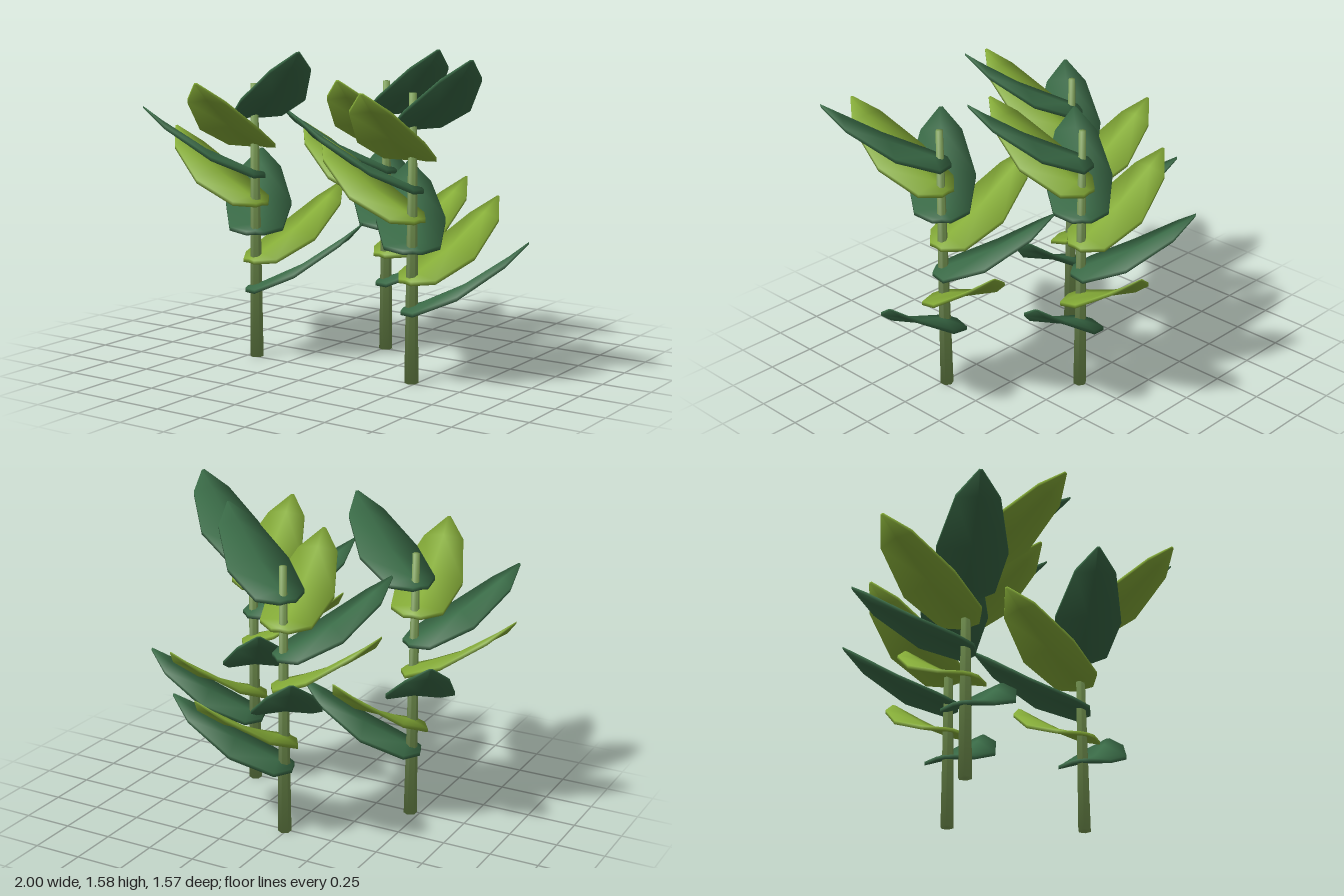
import * as THREE from 'three';
import { mergeVertices } from 'three/addons/utils/BufferGeometryUtils.js';

const STEM_HEIGHT = 1.395;
const LEAF_COUNT = 7;

// Smooth normals weighted by corner angle, so thin rims and caps round off softly
function smoothByAngle(geometry) {
  const pos = geometry.attributes.position;
  const index = geometry.index;
  const normals = Array.from({ length: pos.count }, () => new THREE.Vector3());
  for (let f = 0; f < index.count; f += 3) {
    const ids = [0, 1, 2].map((k) => index.getX(f + k));
    const p = ids.map((id) => new THREE.Vector3().fromBufferAttribute(pos, id));
    const face = p[1].clone().sub(p[0]).cross(p[2].clone().sub(p[0])).normalize();
    ids.forEach((id, k) => {
      const u = p[(k + 1) % 3].clone().sub(p[k]);
      const v = p[(k + 2) % 3].clone().sub(p[k]);
      normals[id].addScaledVector(face, u.angleTo(v));
    });
  }
  const flat = normals.flatMap((n) => n.normalize().toArray());
  geometry.setAttribute('normal', new THREE.Float32BufferAttribute(flat, 3));
  return geometry;
}

// Six-sided tapering stem
function stemGeometry() {
  const g = new THREE.CylinderGeometry(0.018, 0.034, STEM_HEIGHT, 6);
  g.translate(0, STEM_HEIGHT / 2, 0);
  g.deleteAttribute('uv');
  g.deleteAttribute('normal');
  return smoothByAngle(mergeVertices(g));
}

// Leaf along +x, curving upward, with a slightly arched thin section
function leafGeometry() {
  // distance from stem, height, half width, half thickness, arch
  const stations = [
    [-0.045, 0.0, 0.045, 0.010, 0.002],
    [0.03, 0.018, 0.135, 0.010, 0.008],
    [0.245, 0.118, 0.17, 0.010, 0.011],
    [0.46, 0.268, 0.105, 0.009, 0.008],
    [0.553, 0.352, 0.008, 0.005, 0.0],
  ];
  const points = [];
  const faces = [];
  for (const [x, y, w, t, arch] of stations) {
    points.push(
      x, y - arch + t, -w, x, y + arch + t, 0, x, y - arch + t, w,
      x, y - arch - t, w, x, y + arch - t, 0, x, y - arch - t, -w,
    );
  }
  for (let s = 0; s < stations.length - 1; s++) {
    for (let k = 0; k < 6; k++) {
      const a = s * 6 + k;
      const b = s * 6 + ((k + 1) % 6);
      faces.push(a, b, a + 6, b, b + 6, a + 6);
    }
  }
  // End caps
  const cap = [0, 1, 4, 0, 4, 5, 1, 2, 3, 1, 3, 4];
  const last = (stations.length - 1) * 6;
  faces.push(...[...cap].reverse(), ...cap.map((i) => i + last));

  const g = new THREE.BufferGeometry();
  g.setAttribute('position', new THREE.Float32BufferAttribute(points, 3));
  g.setIndex(faces);
  return smoothByAngle(g);
}

export function createModel() {
  const material = (name, color) => {
    const m = new THREE.MeshStandardMaterial({ color });
    m.name = name;
    return m;
  };
  const stemGreen = material('stem green', 0x7d9f57);
  const darkGreen = material('dark leaf green', 0x3a6b47);
  const limeGreen = material('lime leaf green', 0x86ad38);
  const stemShape = stemGeometry();
  const leafShape = leafGeometry();

  // One plant: a stem with leaves spiralling up it in alternating greens
  function createPlant() {
    const plant = new THREE.Group();
    const stem = new THREE.Mesh(stemShape, stemGreen);
    stem.name = 'stem';
    plant.add(stem);
    for (let i = 0; i < LEAF_COUNT; i++) {
      const leaf = new THREE.Mesh(leafShape, i % 2 ? limeGreen : darkGreen);
      leaf.name = i % 2 ? 'limeLeaf' : 'darkLeaf';
      leaf.position.y = 0.353 + i * 0.1458;
      leaf.rotation.y = THREE.MathUtils.degToRad(20.5) + (i * Math.PI * 2) / LEAF_COUNT;
      plant.add(leaf);
    }
    return plant;
  }

  // Three plants in a triangle
  const model = new THREE.Group();
  model.name = 'plantCluster';
  const spots = [
    ['rightPlant', -0.453, 0.235],
    ['leftPlant', 0.475, 0.235],
    ['backPlant', 0.011, -0.26],
  ];
  for (const [name, x, z] of spots) {
    const plant = createPlant();
    plant.name = name;
    plant.position.set(x, 0, z);
    model.add(plant);
  }
  return model;
}
